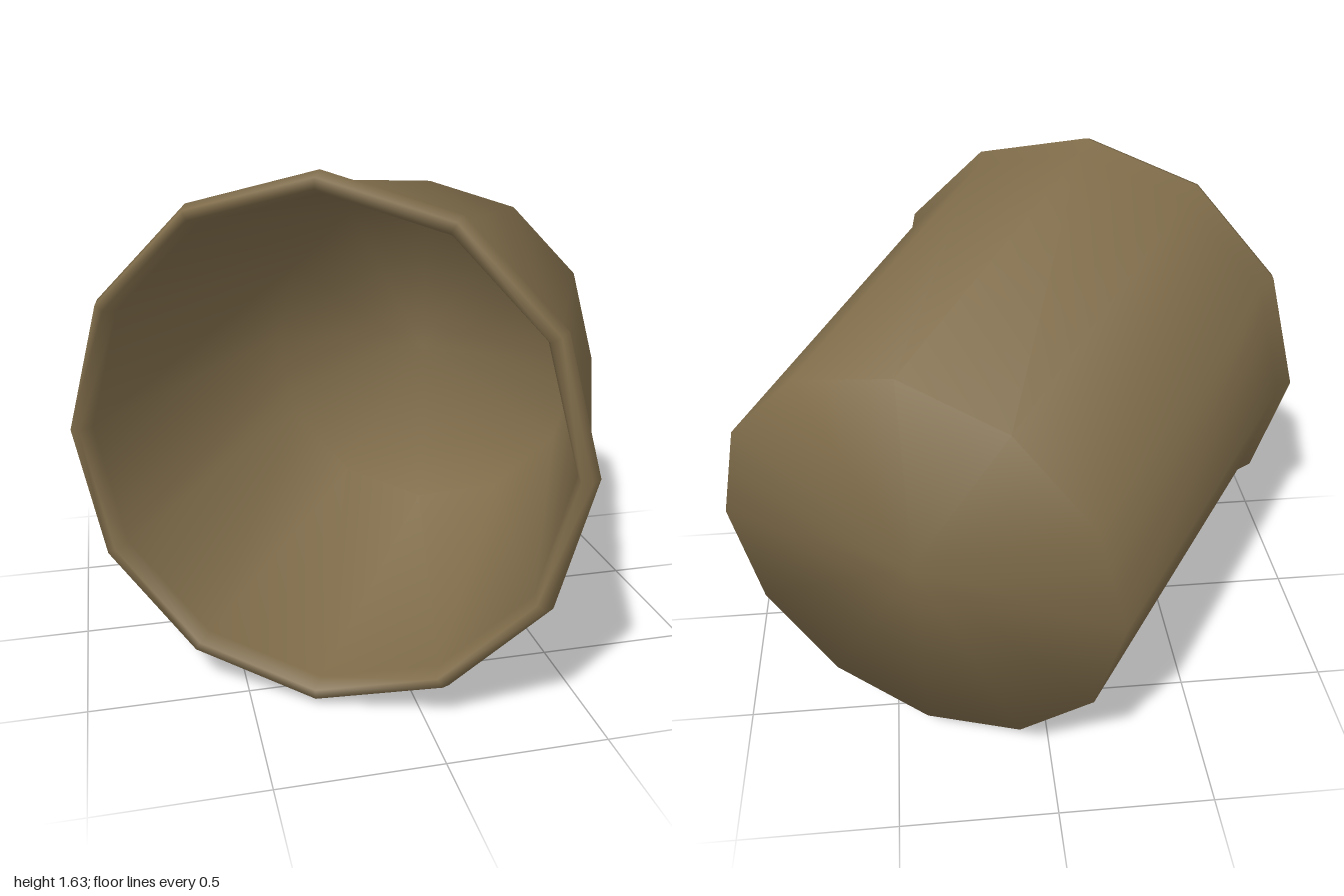
import * as THREE from 'three';

export function createModel() {
  const group = new THREE.Group();
  group.name = 'tippedCup';

  const clay = new THREE.MeshStandardMaterial({ color: 0x7f6c4a });
  clay.name = 'brownClay';

  // Closed profile (radius, distance from base): base, outer wall, rolled rim, lining, floor
  const profile = [
    [0, 0], [0.675, 0],
    [0.785, 1.335], [0.818, 1.4], [0.8, 1.445], [0.768, 1.45],
    [0.752, 1.39], [0.632, 0.06], [0, 0.06],
  ].map(([r, t]) => new THREE.Vector2(r, t));

  // Twelve-sided cup with smooth shading
  const cup = new THREE.Mesh(new THREE.LatheGeometry(profile, 12), clay);
  cup.name = 'cup';

  // Lay it on its side, mouth turned to the front and slightly raised
  cup.rotation.order = 'YXZ';
  cup.rotation.set(Math.PI / 2 - 0.038, -0.509, 0);
  cup.position.set(0.41, 0.765, -0.665);
  group.add(cup);

  return group;
}
